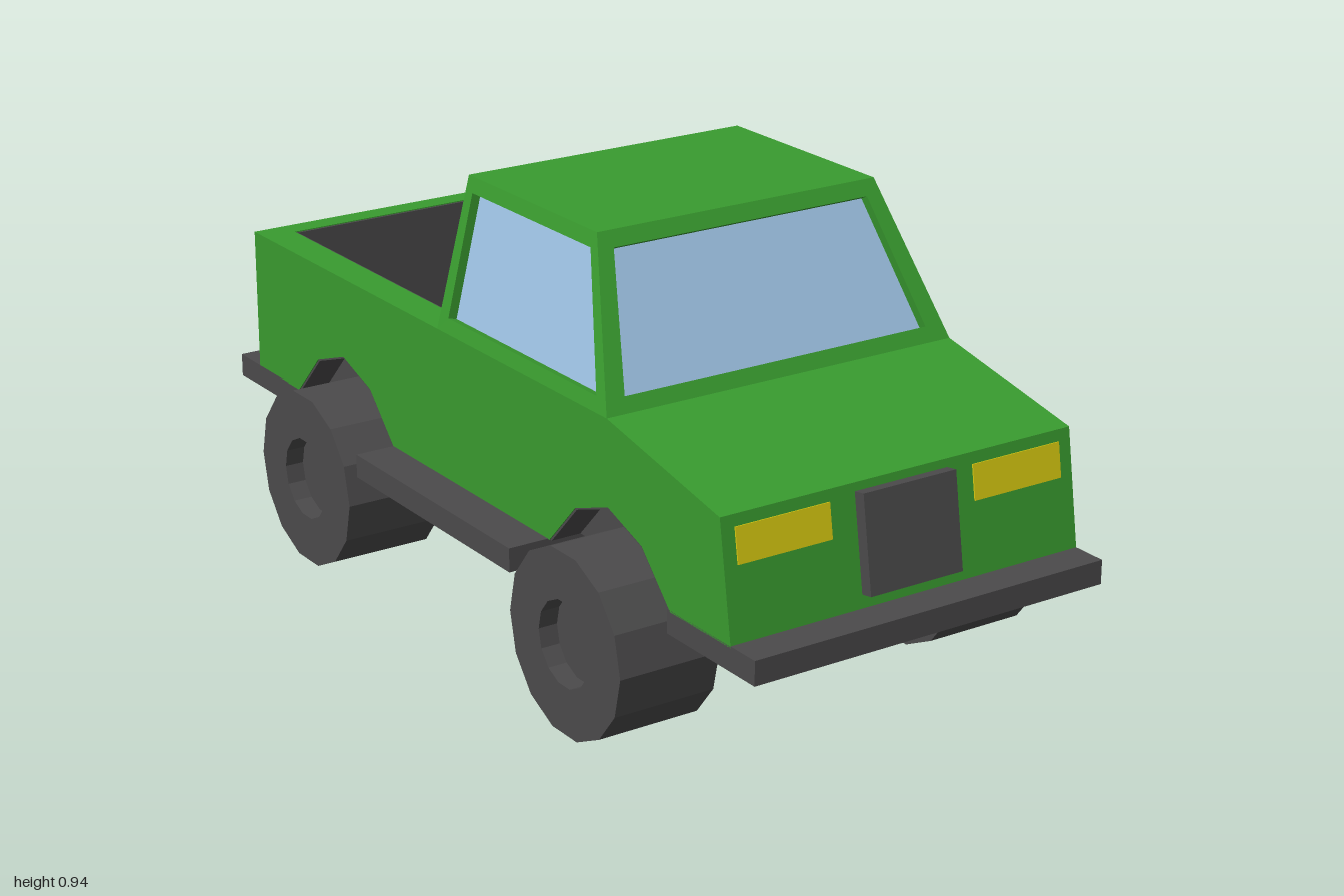
import * as THREE from 'three';

const mat = (name, color) => Object.assign(new THREE.MeshStandardMaterial({ color }), { name });

export function createModel() {
  const green = mat('body green', 0x399b2f);
  const dark = mat('dark grey', 0x4b4a4b);
  const glassBlue = mat('window blue', 0x9dc1e2);
  const yellow = mat('lamp yellow', 0xd8ca10);
  const red = mat('lamp red', 0xc8300f);

  const model = new THREE.Group();
  model.name = 'pickupTruck';

  const add = (name, geo, material, parent = model) => {
    const mesh = new THREE.Mesh(geo, material);
    mesh.name = name;
    parent.add(mesh);
    return mesh;
  };
  // Box given by its limits on each axis
  const box = (name, material, [x0, x1], [y0, y1], [z0, z1], parent = model) => {
    const mesh = add(name, new THREE.BoxGeometry(x1 - x0, y1 - y0, z1 - z0), material, parent);
    mesh.position.set((x0 + x1) / 2, (y0 + y1) / 2, (z0 + z1) / 2);
    return mesh;
  };
  // Side profile of [z, y] points, extruded from x0 to x1
  const profile = (name, material, points, x0, x1) => {
    const shape = new THREE.Shape(points.map(([z, y]) => new THREE.Vector2(z, y)));
    const geo = new THREE.ExtrudeGeometry(shape, { depth: x1 - x0, bevelEnabled: false });
    return add(name, geo.rotateY(-Math.PI / 2).translate(x1, 0, 0), material);
  };
  // Flat shaded geometry from four-cornered faces
  const quads = (list) => {
    const points = list.flatMap(([a, b, c, d]) => [a, b, c, a, c, d]);
    const geo = new THREE.BufferGeometry().setFromPoints(points);
    geo.computeVertexNormals();
    return geo;
  };
  const V = (x, y, z) => new THREE.Vector3(x, y, z);

  // Lower body: side walls with wheel arches
  const W = 0.415, IN = 0.34, BASE = 0.31, DECK = 0.63, AXLES = [-0.515, 0.52];
  const arch = (z, k = 1) => [[-0.21, 0], [-0.115, 0.1], [0, 0.14], [0.115, 0.1], [0.21, 0]]
    .map(([dz, dy]) => [z + dz * k, BASE + dy * k]);
  const nose = [[0.925, BASE], [0.887, 0.555], [0.517, DECK]];
  const wall = [[-0.91, BASE], ...AXLES.flatMap((z) => arch(z)), ...nose, [-0.91, DECK]];

  for (const s of [-1, 1]) {
    const side = s > 0 ? 'left' : 'right';
    const span = (a, b) => (s > 0 ? [a, b] : [-b, -a]);
    profile(side + 'BodySide', green, wall, ...span(IN, W));
    for (const z of AXLES) {
      const end = z > 0 ? 'Front' : 'Rear';
      profile(side + end + 'ArchBack', dark, arch(z), ...span(IN, IN + 0.006));
      profile(side + end + 'ArchLining', dark, [...arch(z), ...arch(z, 0.97).reverse()], ...span(IN, W - 0.002));
    }
    // Cargo bed side lining
    box(side + 'BedLining', dark, span(IN - 0.005, IN), [0.36, DECK - 0.002], [-0.86, -0.18]);
  }
  profile('noseAndCabBase', green, [[-0.18, BASE], ...nose, [-0.18, DECK]], -IN, IN);
  box('tailgate', green, [-IN, IN], [BASE, DECK], [-0.91, -0.86]);
  box('bedFloor', dark, [-IN, IN], [0.32, 0.38], [-0.86, -0.18]);
  box('bedFrontLining', dark, [-IN, IN], [0.36, DECK - 0.002], [-0.185, -0.178]);
  box('bedRearLining', dark, [-IN, IN], [0.36, DECK - 0.002], [-0.862, -0.855]);
  box('floorPan', dark, [-IN, IN], [0.306, 0.33], [-0.9, 0.9]);

  // Cab: four framed windows around a roof
  const ring = (x, y, front, back) => [V(-x, y, front), V(x, y, front), V(x, y, back), V(-x, y, back)];
  const low = ring(W, DECK, 0.517, -0.11);
  const top = ring(0.333, 0.943, 0.361, -0.11);
  ['windshield', 'leftWindow', 'rearWindow', 'rightWindow'].forEach((name, i) => {
    const j = (i + 1) % 4;
    const outer = [low[i], low[j], top[j], top[i]];
    const at = (u, v) => outer[0].clone().lerp(outer[1], u).lerp(outer[3].clone().lerp(outer[2], u), v);
    const inner = [at(0.053, 0.095), at(0.947, 0.095), at(0.947, 0.9), at(0.053, 0.9)];
    const normal = outer[1].clone().sub(outer[0]).cross(outer[3].clone().sub(outer[0])).normalize();
    const deep = inner.map((p) => p.clone().addScaledVector(normal, -0.02));
    const faces = [];
    for (let a = 0; a < 4; a++) {
      const b = (a + 1) % 4;
      faces.push([outer[a], outer[b], inner[b], inner[a]], [inner[a], inner[b], deep[b], deep[a]]);
    }
    add(name + 'Frame', quads(faces), green);
    add(name + 'Glass', quads([deep]), glassBlue);
  });
  add('roof', quads([top]), green);

  // Grille and headlights on the sloping nose
  const face = new THREE.Group();
  face.name = 'frontFace';
  face.position.set(0, 0.4325, 0.906);
  face.rotation.x = -Math.atan2(0.038, 0.245);
  model.add(face);
  box('grille', dark, [-0.11, 0.11], [-0.093, 0.107], [0, 0.027], face);
  for (const s of [-1, 1]) {
    const xs = s > 0 ? [0.17, 0.385] : [-0.385, -0.17];
    box('headlight', yellow, xs, [0.028, 0.1], [-0.004, 0.003], face);
    box('rearUpperLamp', yellow, xs, [0.553, 0.602], [-0.913, -0.906]);
    box('rearLowerLamp', red, xs, [0.441, 0.492], [-0.913, -0.906]);
  }

  // Bumpers and running boards
  box('frontBumper', dark, [-W, W], [0.263, 0.314], [0.72, 1]);
  box('rearBumper', dark, [-W, W], [0.263, 0.314], [-1, -0.72]);
  box('runningBoards', dark, [-0.505, 0.505], [0.26, 0.311], [-0.305, 0.305]);

  // Drive train
  const rod = (name, r, length, z, alongX, sides) => {
    const geo = new THREE.CylinderGeometry(r, r, length, sides).toNonIndexed();
    geo.computeVertexNormals();
    if (alongX) geo.rotateZ(Math.PI / 2); else geo.rotateX(Math.PI / 2);
    add(name, geo, dark).position.set(0, alongX ? 0.193 : 0.205, z);
  };
  rod('frontAxle', 0.029, 0.62, AXLES[1], true, 12);
  rod('rearAxle', 0.029, 0.62, AXLES[0], true, 12);
  rod('driveShaft', 0.025, 0.85, -0.09, false, 12);
  rod('differential', 0.065, 0.12, AXLES[0], false, 14);
  box('gearbox', dark, [-0.083, 0.083], [0.138, 0.312], [0.31, 0.725]);

  // Wheels with recessed hubs
  const section = [[0, 0], [0.195, 0], [0.195, 0.227], [0.09, 0.227], [0.09, 0.185], [0, 0.185]]
    .map(([r, y]) => new THREE.Vector2(r, y));
  const wheelGeo = new THREE.LatheGeometry(section, 14).toNonIndexed();
  wheelGeo.computeVertexNormals();
  for (const s of [-1, 1]) {
    for (const z of AXLES) {
      const wheel = add((s > 0 ? 'left' : 'right') + (z > 0 ? 'Front' : 'Rear') + 'Wheel', wheelGeo, dark);
      wheel.rotation.z = -s * Math.PI / 2;
      wheel.position.set(s * 0.29, 0.19, z);
    }
  }
  return model;
}
